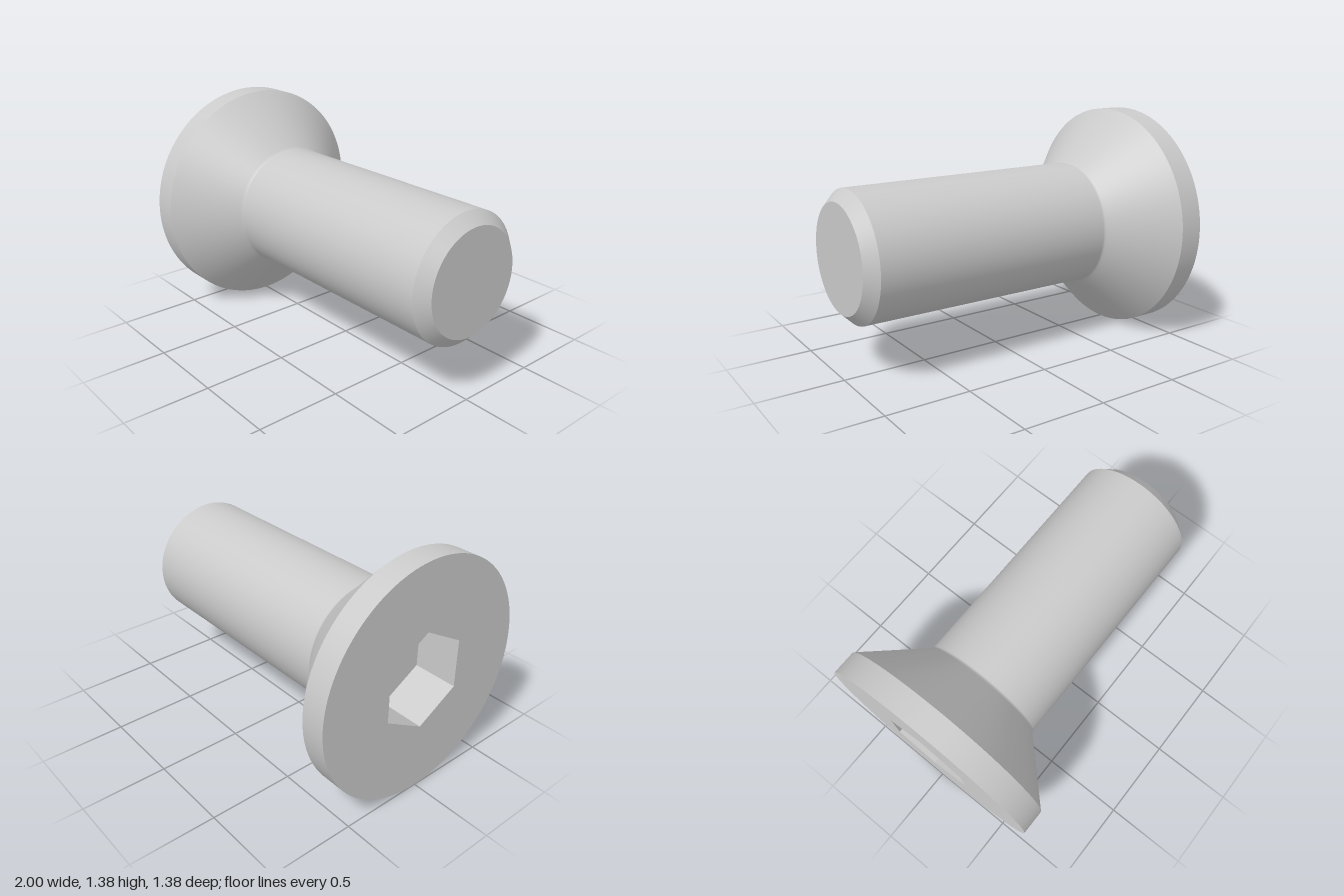
import * as THREE from 'three';

const HEAD_R = 0.692, SHANK_R = 0.374, TIP_R = 0.308;
const SOCKET_R = 0.291, SOCKET_DEPTH = 0.27, SEGMENTS = 96;

export function createModel() {
  const group = new THREE.Group();
  group.name = 'countersunkScrew';
  const steel = new THREE.MeshStandardMaterial({ color: 0xcacaca });
  steel.name = 'steel grey';

  const add = (name, geometry) => {
    const mesh = new THREE.Mesh(geometry, steel);
    mesh.name = name;
    mesh.position.y = HEAD_R;
    group.add(mesh);
  };
  // Turned profile of [radius, x] points, running along +x
  const turned = (points, segments = SEGMENTS, start = 0) =>
    new THREE.LatheGeometry(points.map(([r, x]) => new THREE.Vector2(r, x)), segments, start)
      .rotateZ(-Math.PI / 2);

  // Head rim
  add('headRim', turned([[HEAD_R, -1], [HEAD_R, -0.855]]));

  // Countersunk cone running through a small fillet into the shank
  const body = [[HEAD_R, -0.855], [SHANK_R + 0.012, -0.549]];
  const fillet = 0.02, endX = -0.527;
  for (let i = 0; i <= 4; i++) {
    const a = (Math.PI / 4) * (1 - i / 4);
    body.push([SHANK_R + fillet * (1 - Math.cos(a)), endX - fillet * Math.sin(a)]);
  }
  body.push([SHANK_R, -0.52], [SHANK_R, 0.933]);
  add('coneAndShank', turned(body));

  // Chamfered tip and its flat end
  add('tipChamfer', turned([[SHANK_R, 0.933], [TIP_R, 1]]));
  add('tipEnd', turned([[TIP_R, 1], [0, 1]]));

  // Flat head face with a hexagonal opening
  const face = new THREE.Shape().absarc(0, 0, HEAD_R, 0, Math.PI * 2, false);
  const corners = Array.from({ length: 6 }, (_, i) => {
    const a = Math.PI / 2 - (i * Math.PI) / 3;
    return new THREE.Vector2(SOCKET_R * Math.cos(a), SOCKET_R * Math.sin(a));
  });
  face.holes.push(new THREE.Path(corners));
  add('headFace', new THREE.ShapeGeometry(face, SEGMENTS).rotateY(-Math.PI / 2).translate(-1, 0, 0));

  // Hexagonal socket: floor and six inward walls
  const floorX = -1 + SOCKET_DEPTH;
  const socket = turned([[0, floorX], [SOCKET_R, floorX], [SOCKET_R, -1]], 6, Math.PI / 2).toNonIndexed();
  socket.computeVertexNormals();
  add('hexSocket', socket);

  return group;
}
